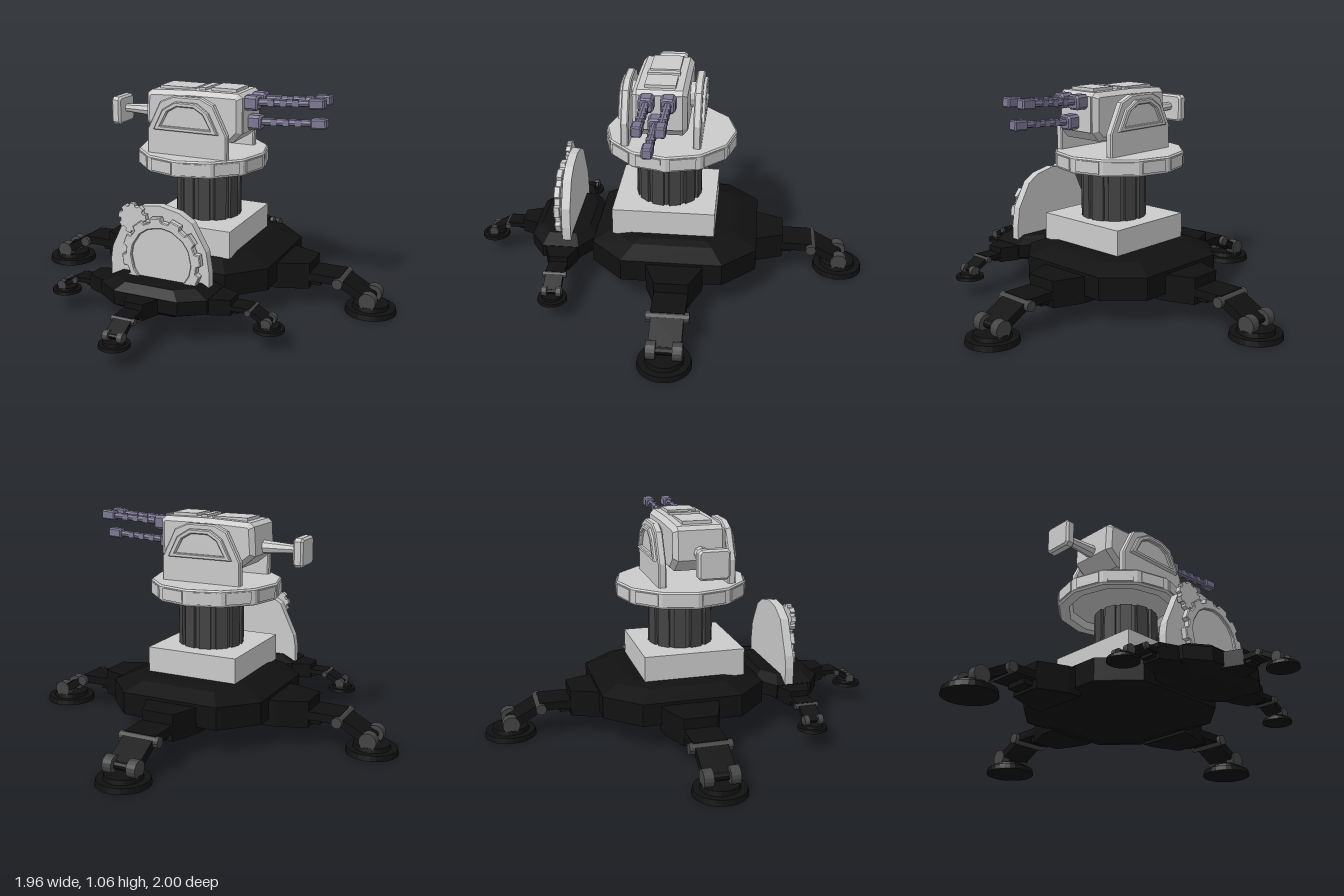
import * as THREE from 'three';

const mat = (color) => new THREE.MeshStandardMaterial({ color, flatShading: true });
const GREY = mat(0xcccccc), BLACK = mat(0x111111), DARK = mat(0x444444), STEEL = mat(0x7c7894);

function add(parent, name, geo, material, x = 0, y = 0, z = 0) {
  const m = new THREE.Mesh(geo, material);
  m.name = name;
  m.position.set(x, y, z);
  parent.add(m);
  return m;
}
const box = (w, h, d) => new THREE.BoxGeometry(w, h, d);
const cyl = (r0, r1, h, n) => new THREE.CylinderGeometry(r0, r1, h, n);
const cylZ = (r, h, n) => cyl(r, r, h, n).rotateX(Math.PI / 2);
const shapeOf = (pts) => new THREE.Shape(pts.map(([x, y]) => new THREE.Vector2(x, y)));

// Outline in XY extruded between z0 and z1, with an optional bevel inside that depth
function plate(pts, z0, z1, bevel = 0, hole = null) {
  const s = shapeOf(pts);
  if (hole) s.holes.push(shapeOf(hole));
  const g = new THREE.ExtrudeGeometry(s, {
    depth: z1 - z0 - 2 * bevel, bevelEnabled: bevel > 0, bevelSize: bevel,
    bevelThickness: bevel, bevelOffset: -bevel, bevelSegments: 1, curveSegments: 1,
  });
  return g.translate(0, 0, z0 + bevel);
}

// Chamfered rectangle stacked in levels of [y, scale]
function hull(hx, hz, cx, cz, levels) {
  const ring = [[hx, -hz + cz], [hx, hz - cz], [hx - cx, hz], [cx - hx, hz],
    [-hx, hz - cz], [-hx, cz - hz], [cx - hx, -hz], [hx - cx, -hz]];
  const pos = [], idx = [], n = ring.length, top = levels.length - 1;
  for (const [y, s] of levels) for (const [x, z] of ring) pos.push(x * s, y, z * s);
  pos.push(0, levels[0][0], 0, 0, levels[top][0], 0);
  const c = n * levels.length;
  for (let i = 0; i < n; i++) {
    const j = (i + 1) % n;
    for (let k = 0; k < top; k++) {
      const a = k * n + i, b = k * n + j;
      idx.push(a, a + n, b, b, a + n, b + n);
    }
    idx.push(c, i, j, c + 1, top * n + j, top * n + i);
  }
  const g = new THREE.BufferGeometry();
  g.setAttribute('position', new THREE.Float32BufferAttribute(pos, 3));
  g.setIndex(idx);
  const flat = g.toNonIndexed();
  flat.computeVertexNormals();
  return flat;
}

// Toothed wheel outline
function gear(cx, cy, r, tooth, count) {
  const pts = [];
  for (let i = 0; i < count; i++) {
    [[0, r], [0.5, r], [0.58, r - tooth], [0.92, r - tooth]].forEach(([f, q]) => {
      const a = ((i + f) / count) * Math.PI * 2;
      pts.push([cx + q * Math.cos(a), cy + q * Math.sin(a)]);
    });
  }
  return pts;
}
const circle = (cx, cy, r, n) => gear(cx, cy, r, 0, n / 4);

// Leg reaching out along +x, with its foot at the origin
function leg(parent, name, x, y, z, turn, scale) {
  const g = new THREE.Group();
  g.name = name;
  g.position.set(x, y, z);
  g.rotation.y = turn;
  g.scale.setScalar(scale);
  parent.add(g);
  const wedge = plate([[-0.5, -0.14], [-0.43, -0.135], [-0.29, -0.08], [-0.29, 0.08], [-0.43, 0.135], [-0.5, 0.14]], 0, 0.13);
  add(g, 'legRoot', wedge.rotateX(Math.PI / 2), BLACK, 0, 0.225, 0);
  add(g, 'upperArm', box(0.17, 0.04, 0.16), BLACK, -0.225, 0.155, 0);
  add(g, 'rootStop', box(0.06, 0.05, 0.11), BLACK, -0.27, 0.135, 0);
  add(g, 'knee', cylZ(0.026, 0.2, 12), DARK, -0.145, 0.148, 0);
  add(g, 'lowerArm', box(0.17, 0.04, 0.15), BLACK, -0.075, 0.112, 0).rotation.z = -0.5;
  for (const s of [-1, 1]) add(g, 'ankle', cylZ(0.042, 0.045, 16), DARK, 0, 0.075, s * 0.06);
  add(g, 'anklePin', cylZ(0.02, 0.12, 10), BLACK, 0, 0.075, 0);
  add(g, 'footStep', cyl(0.085, 0.09, 0.025, 28), BLACK, 0, 0.035, 0);
  add(g, 'foot', cyl(0.12, 0.125, 0.026, 28), BLACK, 0, 0.013, 0);
}

export function createModel() {
  const root = new THREE.Group();
  root.name = 'turret';

  // Main and front bases
  add(root, 'mainBase', hull(0.4, 0.403, 0.153, 0.16,
    [[0.075, 0.58], [0.13, 1], [0.24, 1], [0.28, 0.78], [0.292, 0.68]]), BLACK, 0.013, 0, -0.05);
  add(root, 'frontBase', hull(0.27, 0.165, 0.11, 0.075,
    [[0.115, 0.68], [0.15, 1], [0.215, 1], [0.25, 0.75]]), BLACK, 0.013, 0, 0.512);
  leg(root, 'rightLeg', -0.855, 0, -0.065, Math.PI, 1);
  leg(root, 'leftLeg', 0.85, 0, -0.065, 0, 1);
  leg(root, 'backLeg', 0, 0, -0.875, Math.PI / 2, 1);
  leg(root, 'smallRightLeg', -0.515, 0.085, 0.505, Math.PI, 0.57);
  leg(root, 'smallLeftLeg', 0.54, 0.085, 0.505, 0, 0.57);
  leg(root, 'smallFrontLeg', 0, 0.085, 0.925, -Math.PI / 2, 0.57);

  // Upright shield with two toothed wheels on its face
  add(root, 'shield', plate([[-0.255, 0.2], [0.25, 0.2], [0.25, 0.3], [0.235, 0.4], [0.165, 0.525], [0.1, 0.565],
    [0, 0.587], [-0.09, 0.575], [-0.165, 0.53], [-0.245, 0.36], [-0.255, 0.3]], 0.465, 0.508), GREY);
  add(root, 'largeGear', plate(gear(0.028, 0.345, 0.2, 0.02, 12), 0.52, 0.553, 0.004,
    circle(0.028, 0.345, 0.15, 32)), GREY);
  add(root, 'gearDisc', plate(circle(0.028, 0.345, 0.152, 32), 0.52, 0.54), GREY);
  add(root, 'smallGear', plate(gear(-0.12, 0.52, 0.072, 0.012, 9), 0.515, 0.54), GREY);
  add(root, 'gearAxle', cylZ(0.05, 0.04, 12), GREY, 0.028, 0.345, 0.51);
  add(root, 'smallGearAxle', cylZ(0.025, 0.04, 12), GREY, -0.12, 0.5, 0.505);

  // Pedestal and ribbed column
  add(root, 'pedestal', box(0.47, 0.135, 0.5), GREY, 0.005, 0.348, 0.005);
  const column = new THREE.Group();
  column.name = 'column';
  column.position.set(0.015, 0, -0.005);
  root.add(column);
  add(column, 'columnCore', cyl(0.152, 0.152, 0.23, 12), DARK, 0, 0.53, 0);
  for (let i = 0; i < 12; i++) {
    const a = ((i + 0.5) / 12) * Math.PI * 2;
    add(column, 'columnRib', box(0.058, 0.228, 0.03), DARK, Math.sin(a) * 0.145, 0.53, Math.cos(a) * 0.145).rotation.y = a;
  }

  // Turntable with rim panels
  const table = new THREE.Group();
  table.name = 'turntable';
  table.position.set(-0.018, 0, -0.012);
  root.add(table);
  const rim = [[0, 0.7], [0.25, 0.7], [0.265, 0.665], [0.315, 0.665], [0.322, 0.675], [0.322, 0.738], [0.316, 0.746], [0, 0.746]];
  add(table, 'turntableDisc', new THREE.LatheGeometry(rim.map(([r, y]) => new THREE.Vector2(r, y)), 12), GREY);
  for (let i = 0; i < 12; i++) {
    const a = ((i + 0.5) / 12) * Math.PI * 2;
    add(table, 'rimPanel', box(0.125, 0.056, 0.02), GREY, Math.sin(a) * 0.307, 0.706, Math.cos(a) * 0.307).rotation.y = a;
  }

  // Gun housing, pointing to +x
  const gun = new THREE.Group();
  gun.name = 'gun';
  gun.position.z = 0.02;
  root.add(gun);
  add(gun, 'housing', plate([[-0.26, 0.88], [-0.18, 0.815], [0.2, 0.815], [0.243, 0.86], [0.243, 1.03], [0.222, 1.048],
    [-0.02, 1.048], [-0.23, 1.038], [-0.252, 1.02]], -0.128, 0.128, 0.022), GREY);
  for (const [x, w, d, h] of [[-0.108, 0.185, 0.145, 1.05], [0.027, 0.032, 0.155, 1.055], [0.135, 0.13, 0.145, 1.058]]) {
    add(gun, 'topPanel', box(w, 0.03, d), GREY, x, h - 0.01, 0);
  }
  add(gun, 'frontCollar', box(0.02, 0.17, 0.2), GREY, 0.238, 0.945, 0);

  // Side cheeks on a shared axle, each with a raised arch
  const arch = [[-0.175, 0.865], [0.16, 0.865], [0.11, 0.965], [0.05, 1.005], [-0.06, 1.005], [-0.125, 0.965]];
  const inner = arch.map(([x, y]) => [-0.007 + (x + 0.007) * 0.78, 0.93 + (y - 0.93) * 0.7]);
  const cheekShape = [[-0.215, 0.74], [0.2, 0.74], [0.2, 0.86], [0.13, 1.0], [0.065, 1.03], [-0.075, 1.03], [-0.145, 1.0], [-0.215, 0.86]];
  add(gun, 'axle', cylZ(0.06, 0.33, 12), GREY, 0, 0.94, 0);
  for (const side of [0, 1]) {
    const cheek = new THREE.Group();
    cheek.name = side ? 'backCheek' : 'frontCheek';
    if (side) { cheek.rotation.y = Math.PI; cheek.position.x = -0.015; }
    gun.add(cheek);
    add(cheek, 'cheekPlate', plate(cheekShape, 0.152, 0.19, 0.006), GREY);
    add(cheek, 'cheekArch', plate(arch, 0.185, 0.207, 0.005, inner), GREY);
  }

  // Three barrels with square mounts and muzzles
  for (const [y, z] of [[1.005, 0.055], [1.005, -0.045], [0.905, 0.012]]) {
    const barrel = new THREE.Group();
    barrel.name = 'barrel';
    barrel.position.set(0.24, y, z);
    gun.add(barrel);
    const sq = (h, c) => [[-h, c - h], [c - h, -h], [h - c, -h], [h, c - h], [h, h - c], [h - c, h], [c - h, h], [-h, h - c]];
    add(barrel, 'barrelMount', plate(sq(0.035, 0.012), 0, 0.07, 0.008).rotateY(Math.PI / 2), STEEL);
    const tube = new THREE.Group();
    tube.name = 'barrelTube';
    tube.rotation.z = 0.055;
    barrel.add(tube);
    add(tube, 'tube', cyl(0.016, 0.018, 0.27, 8).rotateZ(-Math.PI / 2), STEEL, 0.19, 0, 0);
    for (const x of [0.13, 0.19, 0.25]) add(tube, 'tubeBand', box(0.03, 0.03, 0.038), STEEL, x, 0, 0);
    add(tube, 'muzzle', plate(sq(0.024, 0.007), 0, 0.075, 0.006).rotateY(Math.PI / 2), STEEL, 0.312, 0, 0);
  }

  // Rear handle
  add(gun, 'handleRod', cyl(0.02, 0.034, 0.2, 8).rotateZ(Math.PI / 2), GREY, -0.345, 0.912, 0);
  add(gun, 'handlePaddle', plate([[-0.075, -0.055], [-0.06, -0.07], [0.06, -0.07], [0.075, -0.055], [0.075, 0.055],
    [0.06, 0.07], [-0.06, 0.07], [-0.075, 0.055]], -0.025, 0.025, 0.01).rotateY(Math.PI / 2), GREY, -0.457, 0.905, 0);

  return root;
}
